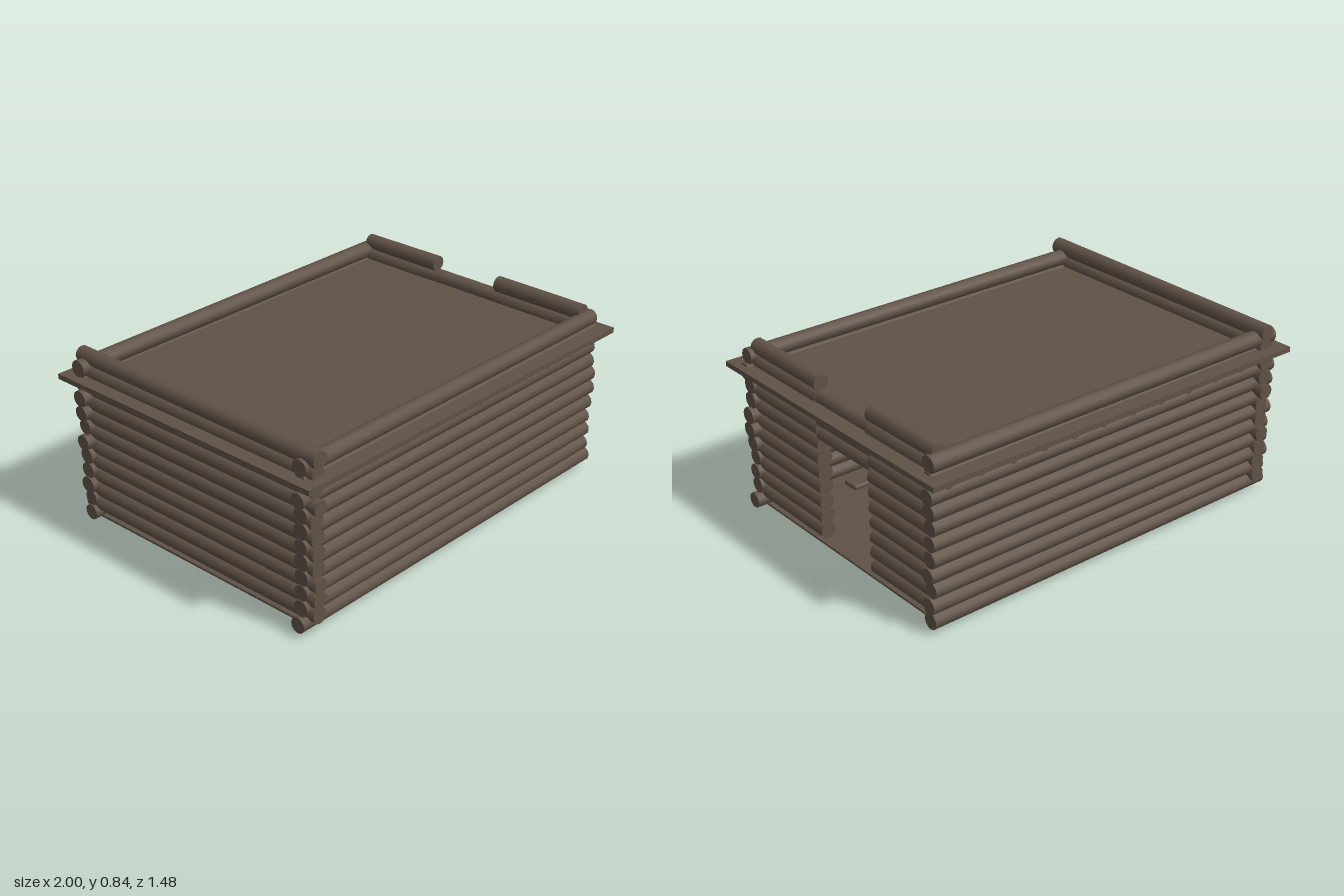
import * as THREE from 'three';
import { RoundedBoxGeometry } from 'three/addons/geometries/RoundedBoxGeometry.js';

export function createModel() {
  const model = new THREE.Group();
  model.name = 'logCabin';
  const wood = new THREE.MeshStandardMaterial({ name: 'weathered wood', color: 0x5f5146 });
  const brickRed = new THREE.MeshStandardMaterial({ name: 'brick red', color: 0x5e2e20 });

  // small seeded generator for the uneven hewn logs
  let seed = 7;
  const rand = () => (seed = (seed * 16807) % 2147483647) / 2147483647;
  const jitter = (a) => (rand() * 2 - 1) * a;

  function group(name) {
    const g = new THREE.Group();
    g.name = name;
    model.add(g);
    return g;
  }
  function add(parent, name, geometry, material, x, y, z) {
    const mesh = new THREE.Mesh(geometry, material);
    mesh.name = name;
    mesh.position.set(x, y, z);
    parent.add(mesh);
    return mesh;
  }
  // a log running along one axis between two ends
  function log(parent, name, axis, from, to, y, across, r = 0.037) {
    const geo = new THREE.CylinderGeometry(r + jitter(0.002), r + jitter(0.002), to - from, 12);
    const mid = (from + to) / 2;
    if (axis === 'x') {
      geo.rotateZ(Math.PI / 2);
      add(parent, name, geo, wood, mid, y, across);
    } else {
      geo.rotateX(Math.PI / 2);
      add(parent, name, geo, wood, across, y, mid);
    }
  }

  const pitch = 0.071, rows = 11;
  const front = group('frontWall'), back = group('backWall');
  const left = group('doorWall'), right = group('solidWall');

  for (let i = 0; i < rows; i++) {
    // long walls
    const yLong = 0.056 + i * pitch;
    for (const [wall, z] of [[front, 0.643], [back, -0.643]]) {
      log(wall, 'wallLog', 'x', -0.96 + jitter(0.013), 0.955 + jitter(0.013), yLong, z);
    }
    // end walls sit half a log higher, one split by the doorway
    const yEnd = 0.092 + i * pitch;
    log(right, 'wallLog', 'z', -0.695 + jitter(0.012), 0.697 + jitter(0.012), yEnd, -0.9);
    log(left, 'wallLog', 'z', -0.64, -0.206, yEnd, 0.895);
    log(left, 'wallLog', 'z', 0.155, 0.638, yEnd, 0.895);
  }
  // logs above the doorway
  for (const y of [0.567, 0.632, 0.69, 0.735]) {
    log(left, 'lintelLog', 'z', -0.215, 0.16, y, 0.893, 0.034);
  }

  // ceiling beams poking out through the long walls
  const beams = group('ceilingBeams');
  for (let i = 0; i < 12; i++) {
    log(beams, 'ceilingBeam', 'z', -0.7, 0.7, 0.68, -0.9 + i * 0.163, 0.019);
  }
  add(model, 'roofSlab', new THREE.BoxGeometry(2, 0.024, 1.48), wood, 0, 0.711, 0);

  // floor planks running the length of the cabin
  const floor = group('floor');
  const planks = 13, plankWidth = 1.28 / planks;
  for (let i = 0; i < planks; i++) {
    add(floor, 'floorPlank', new THREE.BoxGeometry(1.82, 0.01, plankWidth - 0.003), wood,
      0, 0.025, -0.64 + (i + 0.5) * plankWidth);
  }

  // ruined brick hearth: x, z, number of courses
  const hearth = group('brickHearth');
  const brick = new RoundedBoxGeometry(0.1, 0.055, 0.13, 1, 0.008);
  const stacks = [
    [0.3, 0.095, 4], [0.3, -0.07, 3], [0.42, -0.215, 5], [0.5, -0.35, 5],
    [0.52, -0.5, 6], [0.4, -0.55, 6], [0.3, -0.52, 5],
    [0.25, 0.26, 1], [0.2, 0.4, 1], [0.62, -0.48, 2],
  ];
  for (const [x, z, courses] of stacks) {
    for (let i = 0; i < courses; i++) {
      add(hearth, 'brick', brick, brickRed, x + jitter(0.008), 0.058 + i * 0.057, z + jitter(0.01));
    }
  }

  // loose things on the floor
  const clutter = group('floorClutter');
  add(clutter, 'block', new RoundedBoxGeometry(0.14, 0.085, 0.145, 3, 0.03), wood, 0.66, 0.073, -0.128);
  for (const [x, z] of [[0.5, 0.5], [0.62, -0.27], [0.65, -0.38]]) {
    add(clutter, 'flatStone', new RoundedBoxGeometry(0.09, 0.025, 0.09, 2, 0.01), wood, x, 0.042, z);
  }
  // thin hoops sunk into the floor
  const hoop = new THREE.TorusGeometry(0.048, 0.002, 5, 20).rotateY(Math.PI / 2);
  for (const z of [-0.128, -0.268, -0.408]) {
    for (const x of [0.36, 0.41, 0.46, 0.51]) add(clutter, 'hoop', hoop, wood, x, 0.05, z);
  }
  return model;
}
